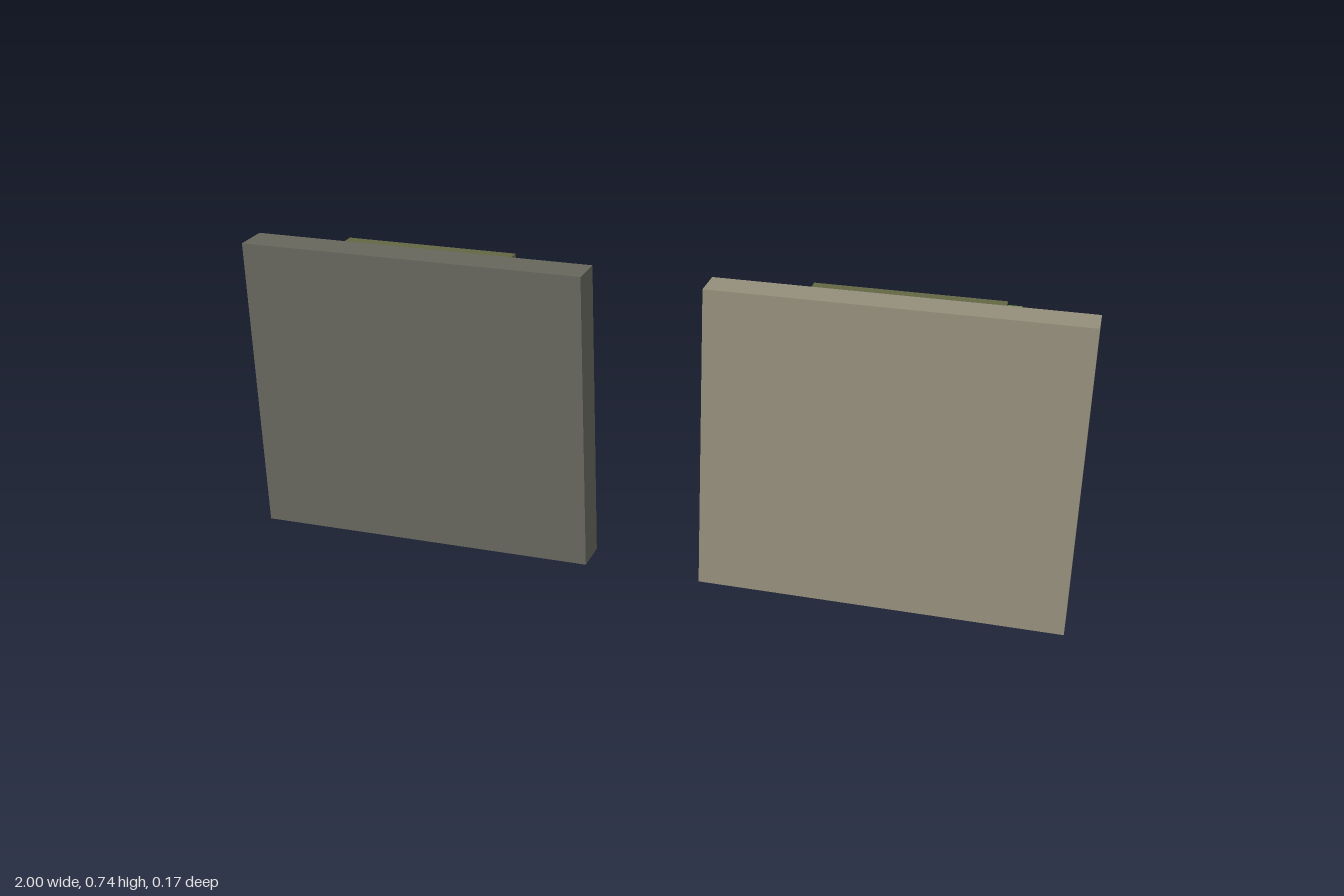
import * as THREE from 'three';

const V = 1 / 35; // voxel size

const mat = (name, color) => {
  const m = new THREE.MeshStandardMaterial({ color });
  m.name = name;
  return m;
};

export function createModel() {
  const beige = mat('beigeStone', 0x968f7c);
  const gray = mat('darkStone', 0x67675e);
  const leafGreen = mat('leafGreen', 0x62884a);
  const olive = mat('oliveVine', 0x646844);
  const brown = mat('brownStem', 0x836a43);

  const model = new THREE.Group();
  model.name = 'vineWalls';

  // One wall with hanging vines on its back. edge = x of the +x end in voxels;
  // u runs towards -x, v up, d out of the back face.
  function vineWall(name, edge, wallMat, longTip, shortTip, longStrands) {
    const wall = new THREE.Group();
    wall.name = name;
    model.add(wall);

    const box = (parent, part, material, u0, u1, v0, v1, d0, d1) => {
      const g = new THREE.BoxGeometry((u1 - u0) * V, (v1 - v0) * V, (d1 - d0) * V);
      const m = new THREE.Mesh(g, material);
      m.name = part;
      m.position.set((edge - (u0 + u1) / 2) * V, (v0 + v1) / 2 * V, -(d0 + d1) / 2 * V);
      parent.add(m);
    };

    box(wall, 'slab', wallMat, 0, 30, 0, 26, -3, 0);
    box(wall, 'vineBar', olive, 7, 22, 25, 26, 0, 1);

    [7, 9, 12, 14, 17, 19, 21].forEach((u, k) => {
      const strand = new THREE.Group();
      strand.name = 'strand' + (k + 1);
      wall.add(strand);
      const tip = longStrands.includes(u) ? longTip : shortTip;

      // stem: olive runs broken by brown knots, with a brown tip
      const knots = [tip, ...[7, 10, 19].filter(v => v > tip)];
      knots.forEach((v, i) => {
        box(strand, 'stemKnot', brown, u, u + 1, v, v + 1, 0, 1);
        const next = knots[i + 1] ?? 25;
        if (next > v + 1) box(strand, 'stem', olive, u, u + 1, v + 1, next, 0, 1);
      });

      // leaves: a hanging piece with a deep arm to one side and a knob on the other
      for (let v = tip, r = 0; v < 25; v += 4, r++) {
        const right = (r + k) % 2 === 1 || (r === 0 && k < 6);
        const top = Math.min(v + 4, 25);
        box(strand, 'leafStalk', leafGreen, u, u + 1, v, top, 1, 2);
        if (right) box(strand, 'leafArm', leafGreen, u, u + 3, v, v + 1, 1, 3);
        else box(strand, 'leafArm', leafGreen, u - 1, u + 1, v, v + 1, 1, 3);
        box(strand, 'leafFold', leafGreen, u, u + 1, v + 1, Math.min(v + 2, 25), 2, 3);
        if (top === v + 4) {
          const inner = v > 8 && (v + 3) % 8 === 0 ? 0 : 1;
          if (right) box(strand, 'leafKnob', leafGreen, u - 1, u + 1, v + 3, v + 4, 1, 3);
          else box(strand, 'leafKnob', leafGreen, u, u + (k === 6 ? 3 : 2), v + 3, v + 4, 1, 3);
          if (inner === 0) box(strand, 'innerLeaf', leafGreen, u - 0.5, u, v + 3, v + 4, 0, 1);
        }
      }
    });
  }

  vineWall('beigeWall', 35, beige, 1, 3, [7, 12, 17, 21]);
  vineWall('darkWall', -5, gray, 13, 18, [9, 14, 19]);
  return model;
}
